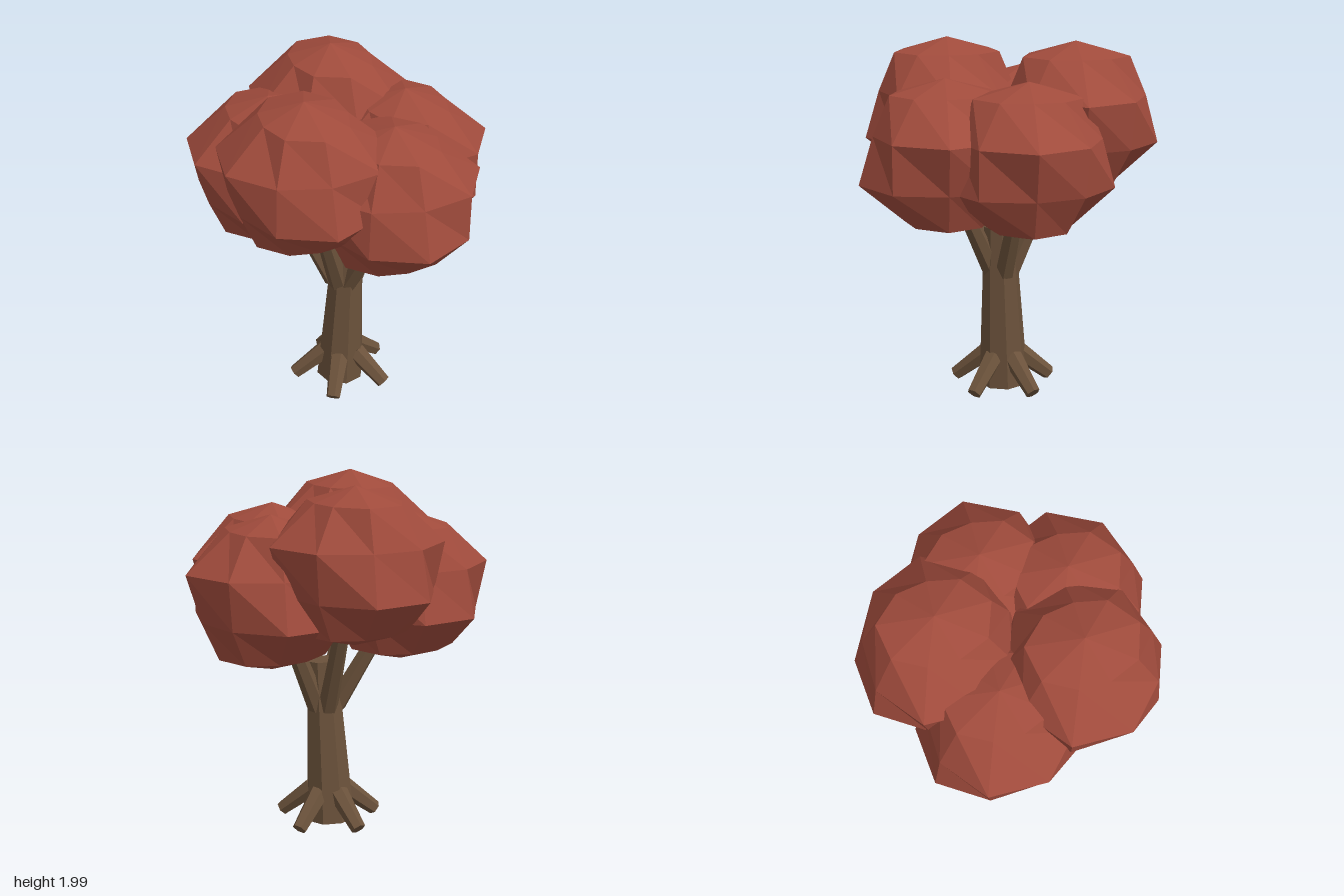
import * as THREE from 'three';

const bark = new THREE.MeshStandardMaterial({ color: 0x6b523b, flatShading: true });
bark.name = 'bark brown';
const leaf = new THREE.MeshStandardMaterial({ color: 0xa04b3c, flatShading: true });
leaf.name = 'autumn red';

// Tapered faceted limb running between two points
function limb(name, from, to, r0, r1, sides) {
  const a = new THREE.Vector3(...from);
  const b = new THREE.Vector3(...to);
  const dir = b.clone().sub(a);
  const mesh = new THREE.Mesh(new THREE.CylinderGeometry(r1, r0, dir.length(), sides), bark);
  mesh.position.copy(a).add(b).multiplyScalar(0.5);
  mesh.quaternion.setFromUnitVectors(new THREE.Vector3(0, 1, 0), dir.normalize());
  mesh.name = name;
  return mesh;
}

// Nine-sided, five-band ball whose rings are squeezed along alternating diagonals
function clumpGeometry() {
  const height = 0.424;
  const geo = new THREE.SphereGeometry(1, 9, 5).rotateY(Math.PI);
  const p = geo.attributes.position;
  for (let i = 0; i < p.count; i++) {
    const y = p.getY(i);
    if (Math.abs(y) > 0.99) {
      p.setXYZ(i, 0, y * height, 0);
      continue;
    }
    const a = Math.atan2(p.getZ(i), p.getX(i));
    const isCap = Math.abs(y) > 0.5;
    const base = isCap ? 0.265 : 0.415 + 0.032 * Math.cos(a) ** 2;
    const squeeze = (isCap ? 0.037 : -0.041) * Math.sign(y);
    const r = base + squeeze * Math.sin(2 * a);
    p.setXYZ(i, Math.cos(a) * r, y * height, Math.sin(a) * r);
  }
  geo.computeVertexNormals();
  return geo;
}

export function createModel() {
  const tree = new THREE.Group();
  tree.name = 'tree';

  // Trunk, leaning slightly
  tree.add(limb('trunk', [-0.012, 0.025, -0.038], [0.036, 0.97, -0.042], 0.142, 0.088, 8));

  // Roots, evenly spread round the base
  for (let i = 0; i < 5; i++) {
    const a = i * Math.PI * 2 / 5;
    const at = (r, y) => [Math.cos(a) * r, y, -0.04 + Math.sin(a) * r];
    tree.add(limb('root', at(0.09, 0.2), at(0.285, 0.038), 0.058, 0.042, 6));
  }

  // Branches up into the foliage
  const branches = [
    [[0.055, 0.7, -0.01], [0.31, 1.2, 0.05]],
    [[-0.035, 0.7, -0.01], [-0.31, 1.2, 0.05]],
    [[0.007, 0.7, 0.012], [0.003, 1.26, 0.24]],
    [[0.05, 0.7, -0.085], [0.17, 1.2, -0.27]],
    [[-0.01, 0.7, -0.085], [-0.16, 1.26, -0.27]],
  ];
  for (const [from, to] of branches) tree.add(limb('branch', from, to, 0.058, 0.042, 6));

  // Foliage clumps
  const geo = clumpGeometry();
  const clumps = [
    [-0.01, 1.576, 0.352],
    [-0.245, 1.576, -0.355],
    [0.22, 1.406, -0.357],
    [0.37, 1.406, 0.078],
    [-0.39, 1.406, 0.078],
  ];
  for (const c of clumps) {
    const mesh = new THREE.Mesh(geo, leaf);
    mesh.name = 'foliageClump';
    mesh.position.set(...c);
    tree.add(mesh);
  }
  return tree;
}
